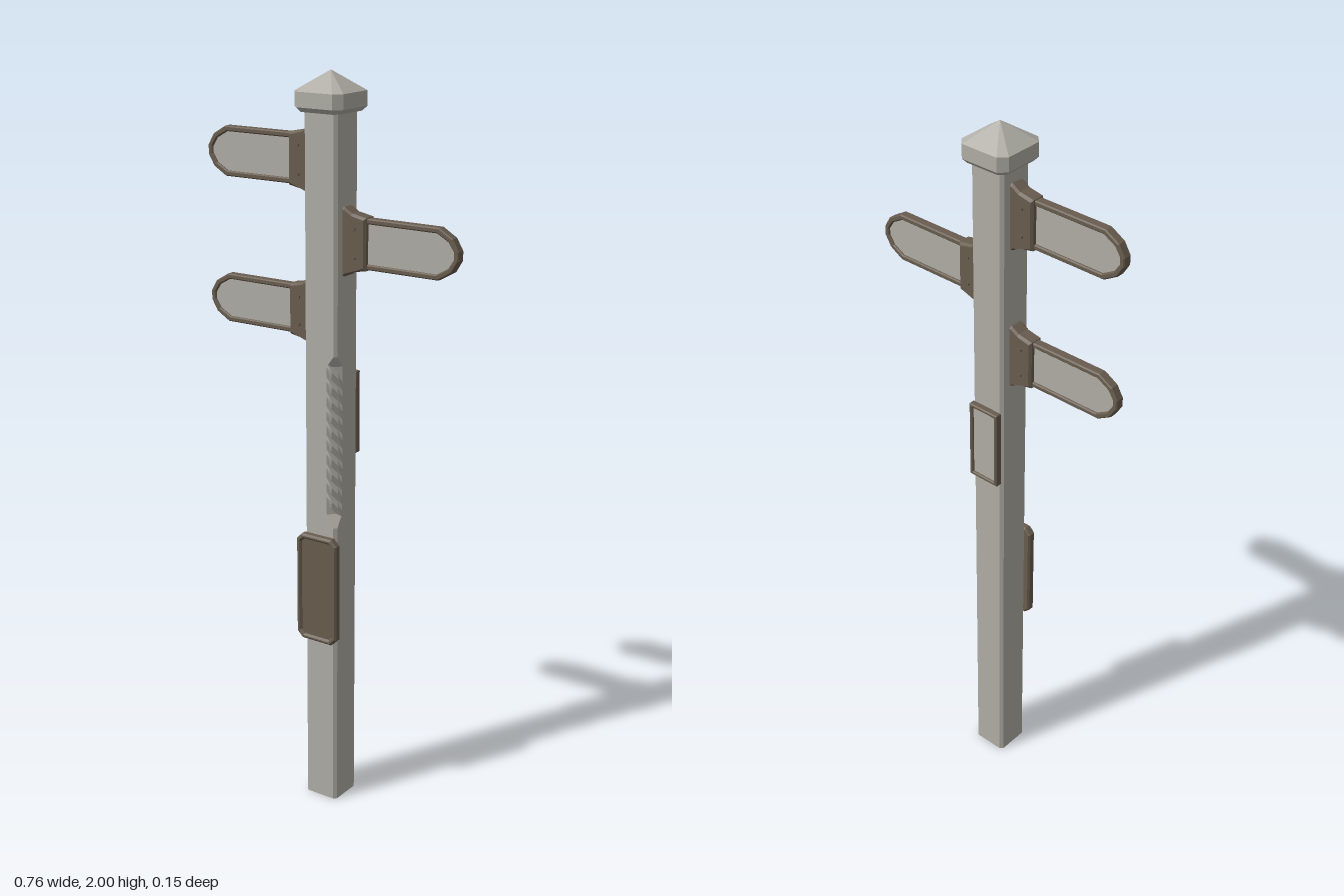
import * as THREE from 'three';

const stone = new THREE.MeshStandardMaterial({ color: 0xb0aea6 });
stone.name = 'pale stone';
const bronze = new THREE.MeshStandardMaterial({ color: 0x685c4e });
bronze.name = 'dark bronze';

// Faceted solid through closed rings of [x, y, z] points, capped at both ends
function loft(rings) {
  const pos = [];
  const tri = (a, b, c) => pos.push(...a, ...b, ...c);
  const n = rings[0].length;
  for (let i = 0; i < rings.length - 1; i++) {
    for (let j = 0; j < n; j++) {
      const k = (j + 1) % n, p = rings[i], q = rings[i + 1];
      tri(p[j], p[k], q[k]);
      tri(p[j], q[k], q[j]);
    }
  }
  const first = rings[0], last = rings[rings.length - 1];
  for (let j = 1; j < n - 1; j++) {
    tri(first[0], first[j + 1], first[j]);
    tri(last[0], last[j], last[j + 1]);
  }
  const g = new THREE.BufferGeometry();
  g.setAttribute('position', new THREE.Float32BufferAttribute(pos, 3));
  g.computeVertexNormals();
  return g;
}

// Rectangle with cut corners; cut4 is the cut of the (+x, -y) corner
function cutRect(w, h, c, z = 0, cut4 = c) {
  return [[w, -h + cut4], [w, h - c], [w - c, h], [-w + c, h],
    [-w, h - c], [-w, -h + c], [-w + c, -h], [w - cut4, -h]].map(([x, y]) => [x, y, z]);
}

function part(name, geometry, material, parent) {
  const m = new THREE.Mesh(geometry, material);
  m.name = name;
  parent.add(m);
  return m;
}

// Flat bar frame: outline with a hole, bevelled, centred on z = 0
function frameGeometry(outer, inner, depth, bevel) {
  const toVec = (pts) => pts.map((p) => new THREE.Vector2(p[0], p[1]));
  const shape = new THREE.Shape(toVec(outer));
  shape.holes.push(new THREE.Path(toVec(inner)));
  const g = new THREE.ExtrudeGeometry(shape, {
    depth: depth - 2 * bevel, bevelEnabled: true, bevelThickness: bevel,
    bevelSize: bevel, bevelOffset: -bevel, bevelSegments: 1,
  });
  return g.translate(0, 0, -depth / 2 + bevel);
}

// Outline of a sign arm with a faceted round tip, shrunk by inset d
function armOutline(d) {
  const half = [[0.1 + d, 0.065 - d], [0.325 - d * 0.4, 0.065 - d],
    [0.364 - d * 0.8, 0.042 - d * 0.7], [0.382 - d, 0.012 - d * 0.2]];
  return [...half.map(([x, y]) => [x, -y]), ...half.reverse()];
}

function makeSign() {
  const sign = new THREE.Group();
  part('signFrame', frameGeometry(armOutline(0), armOutline(0.014), 0.026, 0.003), bronze, sign);
  const panel = new THREE.ExtrudeGeometry(
    new THREE.Shape(armOutline(0.011).map((p) => new THREE.Vector2(...p))),
    { depth: 0.014, bevelEnabled: false });
  part('signPanel', panel.translate(0, 0, -0.007), stone, sign);

  // Bracket flares toward the post
  const flare = [[0.045, -0.09], [0.054, -0.088], [0.075, -0.075], [0.118, -0.067],
    [0.118, 0.067], [0.075, 0.075], [0.054, 0.088], [0.045, 0.09]];
  const ring = (z, d) => flare.map(([x, y]) => [x > 0.1 ? x - d : x, y - Math.sign(y) * d, z]);
  part('bracket', loft([ring(-0.022, 0.006), ring(-0.016, 0), ring(0.016, 0), ring(0.022, 0.006)]),
    bronze, sign);
  for (const y of [-0.037, 0.037]) {
    const bolt = new THREE.CylinderGeometry(0.005, 0.005, 0.054, 6).toNonIndexed();
    bolt.computeVertexNormals();
    const m = part('bolt', bolt, bronze, sign);
    m.rotation.x = Math.PI / 2;
    m.position.set(0.086, y, 0);
  }
  return sign;
}

export function createModel() {
  const model = new THREE.Group();
  model.name = 'signpost';

  // Post, with one front corner cut deeper for the carving
  const c = 0.008, cut = 0.03;
  const rows = [[0, c], [0.815, c], [0.85, cut], [1.255, cut], [1.285, c], [1.91, c]];
  const post = loft(rows.map(([y, k]) => cutRect(0.05, 0.05, c, y, k)));
  part('post', post.rotateX(-Math.PI / 2), stone, model);

  // Pyramid cap
  const cap = loft([cutRect(0.062, 0.062, 0.015, 1.9), cutRect(0.073, 0.073, 0.02, 1.912),
    cutRect(0.073, 0.073, 0.02, 1.95), cutRect(0.0005, 0.0005, 0.0001, 2)]);
  part('cap', cap.rotateX(-Math.PI / 2), stone, model);

  // Slanted ridges carved along the cut corner
  const carving = new THREE.Group();
  carving.name = 'twistedCarving';
  model.add(carving);
  const ridge = loft([[0, 0], [0.3, 0.012], [0.7, 0.012], [1, 0]].map(([t, out]) => {
    const x = 0.02 + 0.03 * t, z = 0.05 - 0.03 * t, y = 0.022 - 0.044 * t, o = out * 0.7;
    return [[x, y + 0.018, z], [x + o, y + 0.004, z + o], [x, y - 0.018, z]];
  }));
  for (let i = 0; i < 10; i++) {
    part('ridge', ridge, stone, carving).position.y = 0.875 + i * 0.0395;
  }

  // Sign arms: two to the right, one to the left
  [[1.775, Math.PI, 'upperSign'], [1.58, 0, 'middleSign'], [1.385, Math.PI, 'lowerSign']]
    .forEach(([y, turn, name]) => {
      const sign = makeSign();
      sign.name = name;
      sign.position.y = y;
      sign.rotation.y = turn;
      model.add(sign);
    });

  // Front plaque with raised rim
  const plaque = new THREE.Group();
  plaque.name = 'frontPlaque';
  plaque.position.set(0, 0.635, 0.06);
  part('plaqueRim', frameGeometry(cutRect(0.064, 0.153, 0.017), cutRect(0.05, 0.139, 0.01), 0.024, 0.005),
    bronze, plaque);
  part('plaquePanel', new THREE.BoxGeometry(0.108, 0.286, 0.016), bronze, plaque).position.z = -0.003;
  model.add(plaque);

  // Small framed panel on the back
  const back = new THREE.Group();
  back.name = 'backPanel';
  back.position.set(0, 1.112, -0.058);
  part('backFrame', frameGeometry(cutRect(0.047, 0.113, 0.002), cutRect(0.036, 0.102, 0.001), 0.02, 0.003),
    bronze, back);
  part('backPlate', new THREE.BoxGeometry(0.078, 0.21, 0.012), stone, back).position.z = 0.002;
  model.add(back);

  return model;
}
